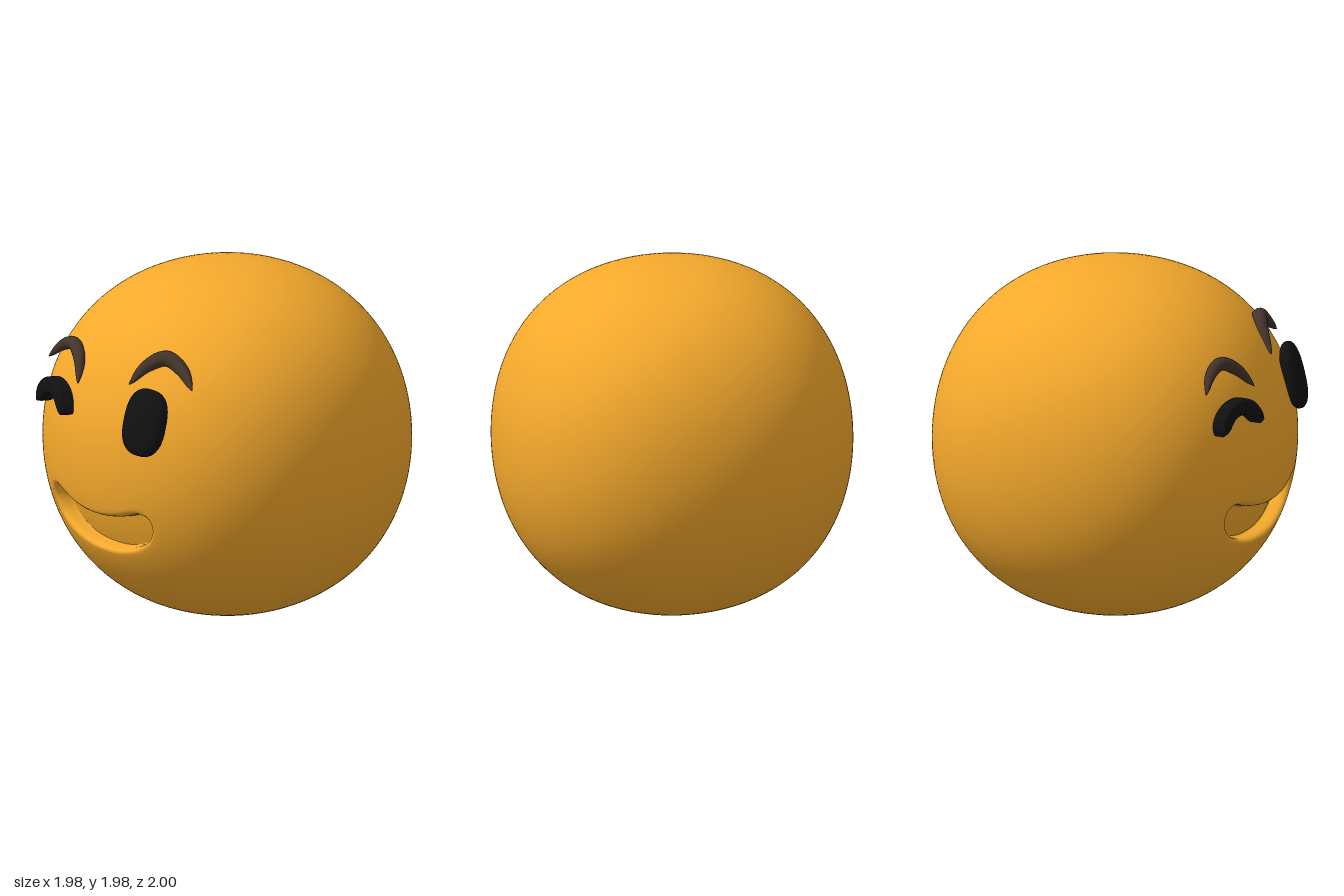
import * as THREE from 'three';

const R = 0.988, CY = 0.988, CZ = -0.012; // body radius and centre
const V3 = (x, y, z) => new THREE.Vector3(x, y, z);

// Body radius in a direction: a ball that bulges a little towards its diagonals
const radius = (d) => R * (1 + 0.06 * (1 - d.x ** 4 - d.y ** 4 - d.z ** 4));

// Point of the body's front (relative to its centre) above a given x, y
function frontPoint(x, y) {
  const p = V3(x, y, 0.85);
  for (let i = 0; i < 6; i++) {
    const r = radius(p.clone().normalize());
    p.z = Math.sqrt(Math.max(0.01, r * r - x * x - y * y));
  }
  return p;
}

// Mouth outline, counter-clockwise from the front, mirrored from one half
function mouthOutline(count) {
  const half = [[0.1, 0.539], [0.2, 0.558], [0.3, 0.597], [0.37, 0.65], [0.404, 0.72],
    [0.393, 0.772], [0.35, 0.787], [0.28, 0.771], [0.2, 0.745], [0.1, 0.726]];
  const pts = [[0, 0.535], ...half, [0, 0.72], ...half.slice().reverse().map(([x, y]) => [-x, y])];
  const curve = new THREE.CatmullRomCurve3(pts.map(([x, y]) => V3(x, y - CY, 0)), true);
  return curve.getSpacedPoints(count).slice(0, count);
}

// Body in rings: mouth floor, wall, rounded lip, then around the ball to the back
function bodyGeometry() {
  const N = 220, RINGS = 72, DEPTH = 0.1;
  const mid = V3(0, 0.625 - CY, 0);
  const outline = mouthOutline(N);
  const normals = outline.map((_, j) => {
    const t = outline[(j + 1) % N].clone().sub(outline[(j + N - 1) % N]).normalize();
    return V3(t.y, -t.x, 0);
  });
  const rings = [];
  const sunk = (p, depth) => {
    const q = frontPoint(p.x, p.y);
    q.z -= depth;
    return q;
  };
  for (const s of [0, 0.2, 0.4, 0.6, 0.8, 0.93]) {
    rings.push(outline.map((p) => sunk(mid.clone().lerp(p, s), DEPTH)));
  }
  for (const [off, depth] of [[-0.004, DEPTH], [0, 0.092], [0.001, 0.07], [0.003, 0.048],
    [0.008, 0.027], [0.015, 0.012], [0.024, 0.004], [0.036, 0]]) {
    rings.push(outline.map((p, j) => sunk(p.clone().addScaledVector(normals[j], off), depth)));
  }
  const rim = rings[rings.length - 1];
  const axis = frontPoint(mid.x, mid.y).normalize();
  for (let k = 1; k <= RINGS; k++) {
    rings.push(rim.map((p) => {
      const d = p.clone().normalize();
      const start = axis.angleTo(d);
      const side = d.addScaledVector(axis, -d.dot(axis)).normalize();
      const a = start + (Math.PI - start) * k / RINGS;
      const q = axis.clone().multiplyScalar(Math.cos(a)).addScaledVector(side, Math.sin(a));
      return q.multiplyScalar(radius(q));
    }));
  }
  const index = [];
  for (let i = 0; i < rings.length - 1; i++) {
    for (let j = 0; j < N; j++) {
      const a = i * N + j, b = i * N + (j + 1) % N;
      if (i < rings.length - 2) index.push(a, a + N, b + N);
      else index.push(a, a + N, b);
      if (i > 0 && i < rings.length - 2) index.push(a, b + N, b);
    }
  }
  const geo = new THREE.BufferGeometry().setFromPoints(rings.flat());
  geo.setIndex(index);
  geo.computeVertexNormals();
  return geo.translate(0, CY, CZ);
}

// Oval eye: a sphere pushed out towards a rounded box
function eyeGeometry(rx, ry, rz) {
  const geo = new THREE.SphereGeometry(1, 40, 28);
  const pos = geo.attributes.position, e = 2.6, v = V3();
  for (let i = 0; i < pos.count; i++) {
    v.fromBufferAttribute(pos, i);
    const n = (Math.abs(v.x) ** e + Math.abs(v.y) ** e + Math.abs(v.z) ** e) ** (1 / e);
    v.divideScalar(n);
    pos.setXYZ(i, v.x * rx, v.y * ry, v.z * rz);
  }
  geo.computeVertexNormals();
  return geo;
}

// Closed eye: a thick arch with rounded ends and edges
function winkGeometry() {
  const b = 0.022;
  const loop = new THREE.CatmullRomCurve3([
    [-0.15, -0.043], [-0.145, 0.005], [-0.085, 0.064], [0, 0.085], [0.085, 0.06], [0.145, -0.005],
    [0.155, -0.04], [0.135, -0.038], [0.07, 0.018], [0, 0.037], [-0.07, 0.022], [-0.13, -0.035],
  ].map(([x, y]) => V3(x, y, 0)), true);
  const shape = new THREE.Shape(loop.getSpacedPoints(64).slice(0, 64).map((p) => new THREE.Vector2(p.x, p.y)));
  return new THREE.ExtrudeGeometry(shape, {
    depth: 0.05, bevelEnabled: true, bevelSize: b, bevelThickness: b, bevelSegments: 5,
  }).translate(0, 0, -0.025);
}

// Eyebrow: a tube along a curve that narrows towards both ends
function browGeometry(points, r) {
  const S = 40, sides = 14;
  const curve = new THREE.CatmullRomCurve3(points.map((p) => V3(...p)));
  const geo = new THREE.TubeGeometry(curve, S, r, sides);
  const pos = geo.attributes.position, v = V3();
  for (let i = 0; i < pos.count; i++) {
    const t = Math.floor(i / (sides + 1)) / S;
    const c = curve.getPointAt(t);
    v.fromBufferAttribute(pos, i).sub(c).multiplyScalar(Math.max(0.01, Math.sin(Math.PI * t)) ** 0.65).add(c);
    pos.setXYZ(i, v.x, v.y, v.z);
  }
  return geo;
}

export function createModel() {
  const group = new THREE.Group();
  const mat = (color) => new THREE.MeshStandardMaterial({ color });
  const skin = mat(0xf5a92c), black = mat(0x111111), brown = mat(0x43342a);
  const add = (name, geo, material, pos = [0, 0, 0], rot = [0, 0, 0]) => {
    const mesh = new THREE.Mesh(geo, material);
    mesh.name = name;
    mesh.position.set(...pos);
    mesh.rotation.set(...rot);
    group.add(mesh);
  };

  add('body', bodyGeometry(), skin);
  add('leftEye', eyeGeometry(0.13, 0.188, 0.055), black, [0.392, 1.34, 0.89], [-0.26, 0.3, 0]);
  add('rightWinkingEye', winkGeometry(), black, [-0.362, 1.305, 0.91], [-0.06, -0.26, 0]);
  add('leftEyebrow', browGeometry([[0.2, 1.505, 0.845], [0.26, 1.61, 0.76], [0.35, 1.662, 0.7],
    [0.46, 1.615, 0.68], [0.57, 1.53, 0.7]], 0.044), brown);
  add('rightEyebrow', browGeometry([[-0.55, 1.468, 0.805], [-0.45, 1.555, 0.785], [-0.34, 1.592, 0.795],
    [-0.235, 1.535, 0.845], [-0.162, 1.43, 0.915]], 0.038), brown);
  return group;
}
